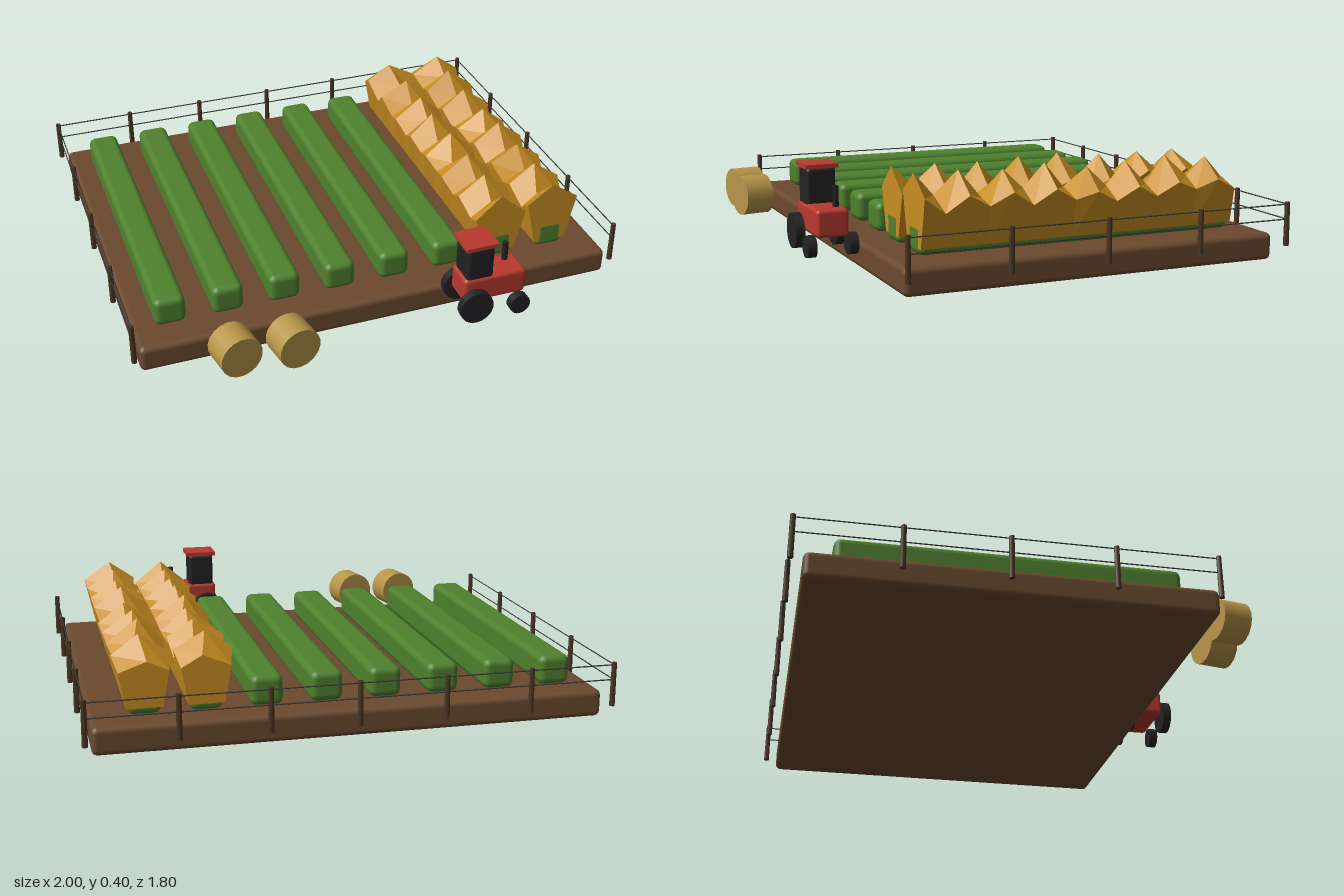
import * as THREE from 'three';
import { RoundedBoxGeometry } from 'three/addons/geometries/RoundedBoxGeometry.js';

const paint = (name, color, extra = {}) => {
  const m = new THREE.MeshStandardMaterial({ color, ...extra });
  m.name = name;
  return m;
};

export function createModel() {
  const soil = paint('soil', 0x6b4a2f);
  const leaf = paint('leaf green', 0x4f822e);
  const gold = paint('ripe gold', 0xc98f22, { flatShading: true });
  const straw = paint('straw', 0xb8964a);
  const red = paint('tractor red', 0xb83a2e);
  const black = paint('rubber black', 0x222224);
  const wood = paint('post wood', 0x4a3422);
  const wireGrey = paint('wire', 0x3a3a3a);

  const model = new THREE.Group();
  model.name = 'farmField';

  const add = (parent, name, geo, mat, x, y, z) => {
    const mesh = new THREE.Mesh(geo, mat);
    mesh.name = name;
    mesh.position.set(x, y, z);
    parent.add(mesh);
    return mesh;
  };
  const group = (name) => {
    const g = new THREE.Group();
    g.name = name;
    model.add(g);
    return g;
  };
  const rounded = (w, h, d, r) => new RoundedBoxGeometry(w, h, d, 2, r);

  // Soil slab
  add(model, 'soilBed', rounded(1.93, 0.105, 1.503, 0.022), soil, -0.002, 0.0525, -0.099);

  // Green crop rows
  const rows = group('cropRows');
  for (let i = 0; i < 6; i++) {
    add(rows, 'cropRow', rounded(0.123, 0.115, 1.285, 0.026), leaf, -0.818 + i * 0.2256, 0.163, -0.101);
  }

  // Ripe crop: pentagonal sections whose crown rises and falls along z
  let seed = 11;
  const jitter = (amount) => {
    seed = (seed * 16807) % 2147483647;
    return (seed / 2147483647 - 0.5) * 2 * amount;
  };
  const ripeRow = () => {
    const rings = 16, points = [], faces = [];
    for (let k = 0; k < rings; k++) {
      const z = 0.54 - k * (1.285 / (rings - 1));
      const peak = k % 2 === 0;
      const half = peak ? 0.109 : 0.092;
      const shoulder = (peak ? 0.31 : 0.265) + jitter(0.012);
      const crown = (peak ? 0.39 : 0.305) + jitter(0.013);
      const lean = jitter(peak ? 0.012 : 0.03);
      points.push(-0.067, 0.133, z, 0.067, 0.133, z, half, shoulder, z, lean, crown, z, -half, shoulder, z);
    }
    for (let k = 0; k < rings - 1; k++) {
      for (let i = 0; i < 5; i++) {
        const a = k * 5 + i, b = k * 5 + (i + 1) % 5;
        faces.push(a, a + 5, b + 5, a, b + 5, b);
      }
    }
    const e = (rings - 1) * 5;
    for (let i = 1; i < 4; i++) faces.push(0, i, i + 1, e, e + i + 1, e + i);
    const geo = new THREE.BufferGeometry();
    geo.setAttribute('position', new THREE.Float32BufferAttribute(points, 3));
    geo.setIndex(faces);
    const flat = geo.toNonIndexed();
    flat.computeVertexNormals();
    return flat;
  };
  const ripe = group('ripeRows');
  for (const x of [0.535, 0.761]) {
    add(ripe, 'ripeRow', ripeRow(), gold, x, 0, 0);
    add(ripe, 'ripeRowBase', rounded(0.123, 0.115, 1.285, 0.026), leaf, x, 0.163, -0.101);
  }

  // Fence along the back and both sides
  const fence = group('fence');
  const edge = 0.988, back = -0.895, front = 0.648;
  const postGeo = new THREE.CylinderGeometry(0.01, 0.011, 0.17, 8);
  const post = (x, z) => add(fence, 'fencePost', postGeo, wood, x, 0.142, z);
  for (let i = 0; i < 7; i++) post(-edge + (i * 2 * edge) / 6, back);
  for (const side of [-1, 1]) {
    for (let i = 1; i < 5; i++) post(side * edge, back + (i * (front - back)) / 4);
  }
  for (const y of [0.16, 0.218]) {
    const backWire = add(fence, 'backWire', new THREE.CylinderGeometry(0.0025, 0.0025, 2 * edge, 6), wireGrey, 0, y, back);
    backWire.rotation.z = Math.PI / 2;
    for (const side of [-1, 1]) {
      const wire = add(fence, 'sideWire', new THREE.CylinderGeometry(0.0025, 0.0025, front - back, 6), wireGrey,
        side * edge, y, (front + back) / 2);
      wire.rotation.x = Math.PI / 2;
    }
  }

  // Round straw bales
  const bales = group('strawBales');
  const baleGeo = new THREE.CylinderGeometry(0.083, 0.083, 0.117, 18).rotateX(Math.PI / 2);
  for (const [x, z] of [[-0.643, 0.802], [-0.429, 0.824]]) {
    add(bales, 'strawBale', baleGeo, straw, x, 0.144, z).rotation.y = 0.184;
  }

  // Tractor, nose towards +x
  const tractor = group('tractor');
  const mid = 0.76;
  add(tractor, 'tractorBody', rounded(0.258, 0.106, 0.126, 0.016), red, 0.384, 0.186, mid);
  add(tractor, 'cabin', rounded(0.11, 0.145, 0.114, 0.014), black, 0.321, 0.3, mid);
  add(tractor, 'cabinRoof', new THREE.BoxGeometry(0.132, 0.016, 0.128), red, 0.321, 0.379, mid);
  add(tractor, 'exhaustPipe', new THREE.CylinderGeometry(0.012, 0.012, 0.09, 10), black, 0.46, 0.272, 0.733);
  for (const side of [-1, 1]) {
    for (const [name, x, y, r] of [['rearWheel', 0.297, 0.128, 0.068], ['frontWheel', 0.479, 0.101, 0.042]]) {
      const geo = new THREE.CylinderGeometry(r, r, 0.034, 18).rotateX(Math.PI / 2);
      add(tractor, name, geo, black, x, y, mid + side * 0.08);
    }
  }

  return model;
}
